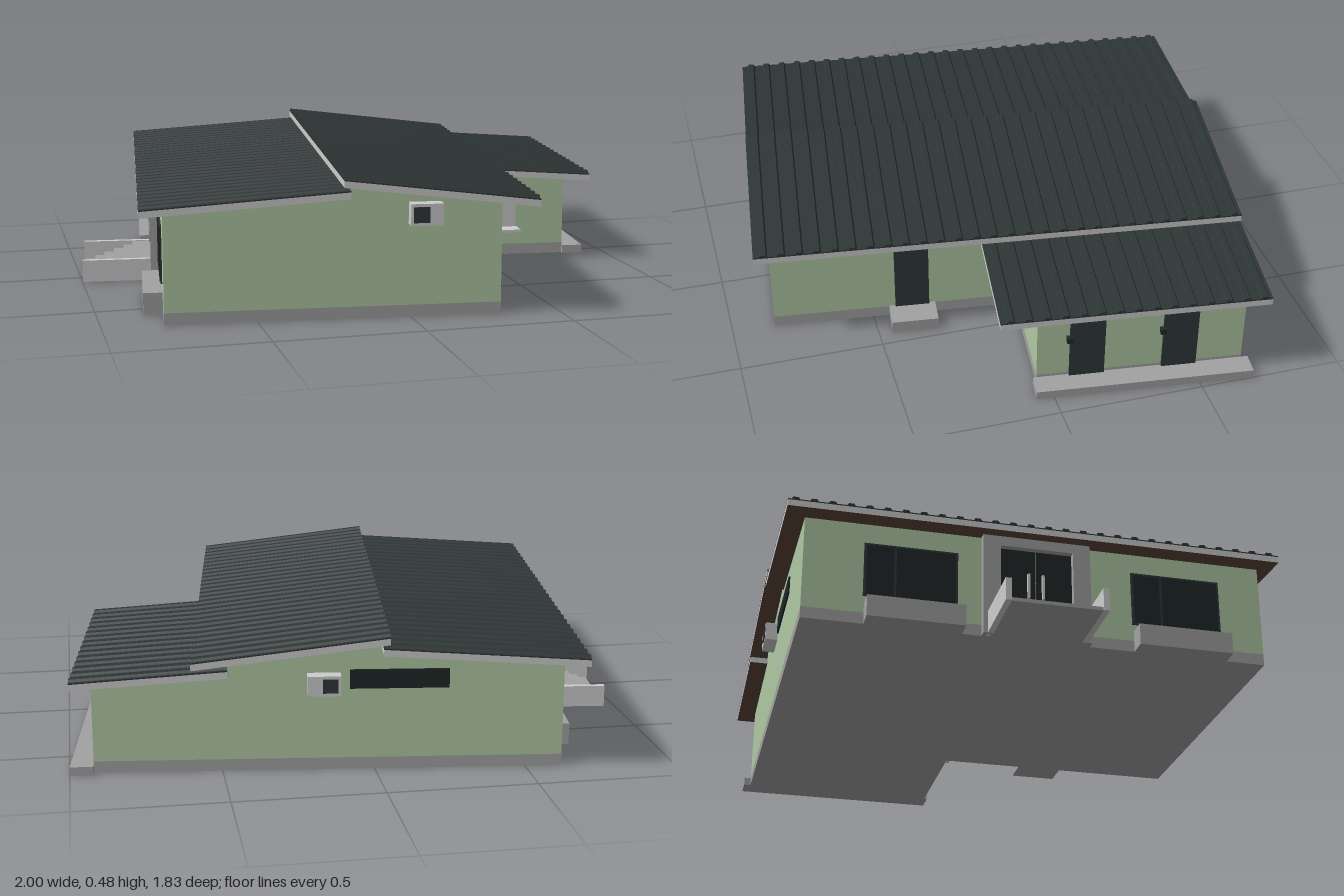
import * as THREE from 'three';

const mat = (name, color) => {
  const m = new THREE.MeshStandardMaterial({ color });
  m.name = name;
  return m;
};

export function createModel() {
  const wall = mat('green wall', 0xb0c9a4);
  const roof = mat('dark roof', 0x2d3535);
  const trim = mat('light trim', 0xcdcdcd);
  const stone = mat('grey concrete', 0xa2a2a2);
  const soffit = mat('brown soffit', 0x5c4438);
  const dark = mat('dark door', 0x2f373a);
  const glass = mat('dark glass', 0x1f2628);

  const model = new THREE.Group();
  const house = new THREE.Group();
  house.name = 'house';
  house.rotation.y = -0.113; // the house stands slightly turned
  model.add(house);

  const add = (name, geometry, material) => {
    const mesh = new THREE.Mesh(geometry, material);
    mesh.name = name;
    house.add(mesh);
    return mesh;
  };
  // box given by its limits on each axis
  const block = (name, material, x0, x1, y0, y1, z0, z1) => {
    const g = new THREE.BoxGeometry(x1 - x0, y1 - y0, z1 - z0);
    g.translate((x0 + x1) / 2, (y0 + y1) / 2, (z0 + z1) / 2);
    return add(name, g, material);
  };
  // x-y outline extruded from z0 to z1
  const prism = (name, material, points, z0, z1) => {
    const shape = new THREE.Shape(points.map(([x, y]) => new THREE.Vector2(x, y)));
    const g = new THREE.ExtrudeGeometry(shape, { depth: z1 - z0, bevelEnabled: false });
    g.translate(0, 0, z0);
    return add(name, g, material);
  };

  // walls and plinths
  const back = -0.77, front = 0.811, wingFront = -0.055;
  const left = -0.713, right = 0.394, wingRight = 0.839;
  block('mainPlinth', stone, left, right, 0, 0.04, back, front);
  block('wingPlinth', stone, right, wingRight, 0, 0.04, back, wingFront);
  prism('mainWalls', wall, [[left, 0.04], [right, 0.04], [right, 0.385], [-0.11, 0.446],
    [-0.11, 0.412], [left, 0.371]], back, front);
  prism('wingWalls', wall, [[right, 0.04], [wingRight, 0.04], [wingRight, 0.315],
    [right, 0.346]], back, wingFront);

  // sloped roof: fascia board with soffit below and ribbed sheet on top
  const roofSlab = (name, x0, y0, x1, y1, z0, z1) => {
    const w = x1 - x0, d = z1 - z0, slope = (y1 - y0) / w, t = 0.022;
    const place = (g) => {
      const p = g.attributes.position;
      for (let i = 0; i < p.count; i++) p.setY(i, p.getY(i) + slope * p.getX(i));
      g.translate((x0 + x1) / 2, (y0 + y1) / 2, (z0 + z1) / 2);
      g.computeVertexNormals();
      return g;
    };
    const board = new THREE.BoxGeometry(w, t, d);
    board.translate(0, -0.012 - t / 2, 0);
    add(name + 'Fascia', place(board), [trim, trim, roof, soffit, trim, trim]);

    const n = Math.round(d / 0.06), pitch = d / n;
    const s = new THREE.Shape();
    s.moveTo(-d / 2, -0.012);
    for (let i = 0; i < n; i++) {
      const x = -d / 2 + i * pitch;
      s.lineTo(x, -0.008);
      s.lineTo(x + pitch * 0.34, -0.008);
      s.lineTo(x + pitch * 0.42, 0);
      s.lineTo(x + pitch * 0.72, 0);
      s.lineTo(x + pitch * 0.8, -0.008);
    }
    s.lineTo(d / 2, -0.008);
    s.lineTo(d / 2, -0.012);
    const sheet = new THREE.ExtrudeGeometry(s, { depth: w, bevelEnabled: false });
    sheet.translate(0, 0, -w / 2);
    sheet.rotateY(Math.PI / 2);
    add(name + 'Sheet', place(sheet), roof);
  };
  roofSlab('leftRoof', -0.788, 0.396, -0.112, 0.441, -0.836, 0.862);
  roofSlab('rightRoof', -0.134, 0.478, 0.511, 0.4, -0.836, 0.862);
  roofSlab('wingRoof', right, 0.374, 0.904, 0.338, -0.836, 0.08);

  // side door with its step
  block('sideDoor', dark, right, right + 0.008, 0.04, 0.3, 0.257, 0.378);
  block('sideStep', stone, right, 0.492, 0, 0.042, 0.235, 0.4);

  // wing doors and platform
  block('wingPlatform', stone, wingRight, 0.916, 0, 0.03, -0.795, -0.043);
  for (const z of [-0.287, -0.608]) {
    block('wingDoor', dark, wingRight, wingRight + 0.008, 0.03, 0.28, z, z + 0.121);
    block('wingDoorHandle', glass, wingRight, wingRight + 0.02, 0.18, 0.2, z + 0.113, z + 0.133);
  }

  // serving hatch with counter
  block('hatchShutter', trim, 0.43, 0.653, 0.11, 0.245, wingFront, wingFront + 0.008);
  block('hatchCounter', trim, 0.425, 0.66, 0.098, 0.108, wingFront, wingFront + 0.065);
  block('hatchTray', trim, 0.5, 0.57, 0.108, 0.118, wingFront + 0.01, wingFront + 0.05);

  // air conditioner units, front and back
  const airUnit = (x0, x1, y0, y1, z, dir, fx0, fx1) => {
    const z1 = z + dir * 0.045, z2 = z1 + dir * 0.003;
    block('airUnit', trim, x0, x1, y0, y1, Math.min(z, z1), Math.max(z, z1));
    block('airUnitFan', dark, fx0, fx1, y0 + 0.01, y1 - 0.01, Math.min(z1, z2), Math.max(z1, z2));
  };
  airUnit(0.083, 0.19, 0.312, 0.384, front, 1, 0.092, 0.145);
  airUnit(0.025, 0.135, 0.268, 0.335, back, -1, 0.035, 0.085);
  block('transomWindow', glass, -0.333, -0.005, 0.28, 0.345, back - 0.006, back);

  // entrance side: windows above planters
  for (const z of [-0.57, 0.345]) {
    block('windowFrame', dark, left - 0.005, left, 0.1, 0.295, z, z + 0.315);
    for (const [a, b] of [[0.008, 0.1], [0.108, 0.307]]) {
      block('windowPane', glass, left - 0.008, left, 0.108, 0.287, z + a, z + b);
    }
    block('planter', stone, -0.777, left, 0, 0.075, z + 0.005, z + 0.33);
  }

  // entrance: portal, double door and handles
  for (const z of [-0.175, 0.135]) block('portalPillar', stone, left - 0.03, left, 0, 0.37, z, z + 0.06);
  block('portalLintel', stone, left - 0.03, left, 0.33, 0.37, -0.115, 0.135);
  for (const z of [-0.115, 0.012]) {
    block('entranceDoor', glass, left - 0.008, left, 0.075, 0.33, z, z + 0.123);
  }
  for (const z of [-0.02, 0.03]) {
    block('entranceHandle', trim, left - 0.02, left - 0.008, 0.15, 0.24, z, z + 0.008);
  }

  // entrance stairs with side walls
  const steps = 6;
  for (let i = 0; i < steps; i++) {
    const x0 = -0.98 + i * 0.035;
    const x1 = i === steps - 1 ? left : x0 + 0.035;
    block('stairStep', stone, x0, x1, 0, (i + 1) * 0.0125, -0.14, 0.16);
  }
  for (const z of [-0.16, 0.16]) block('stairSideWall', trim, -0.985, left, 0, 0.078, z, z + 0.02);

  return model;
}
